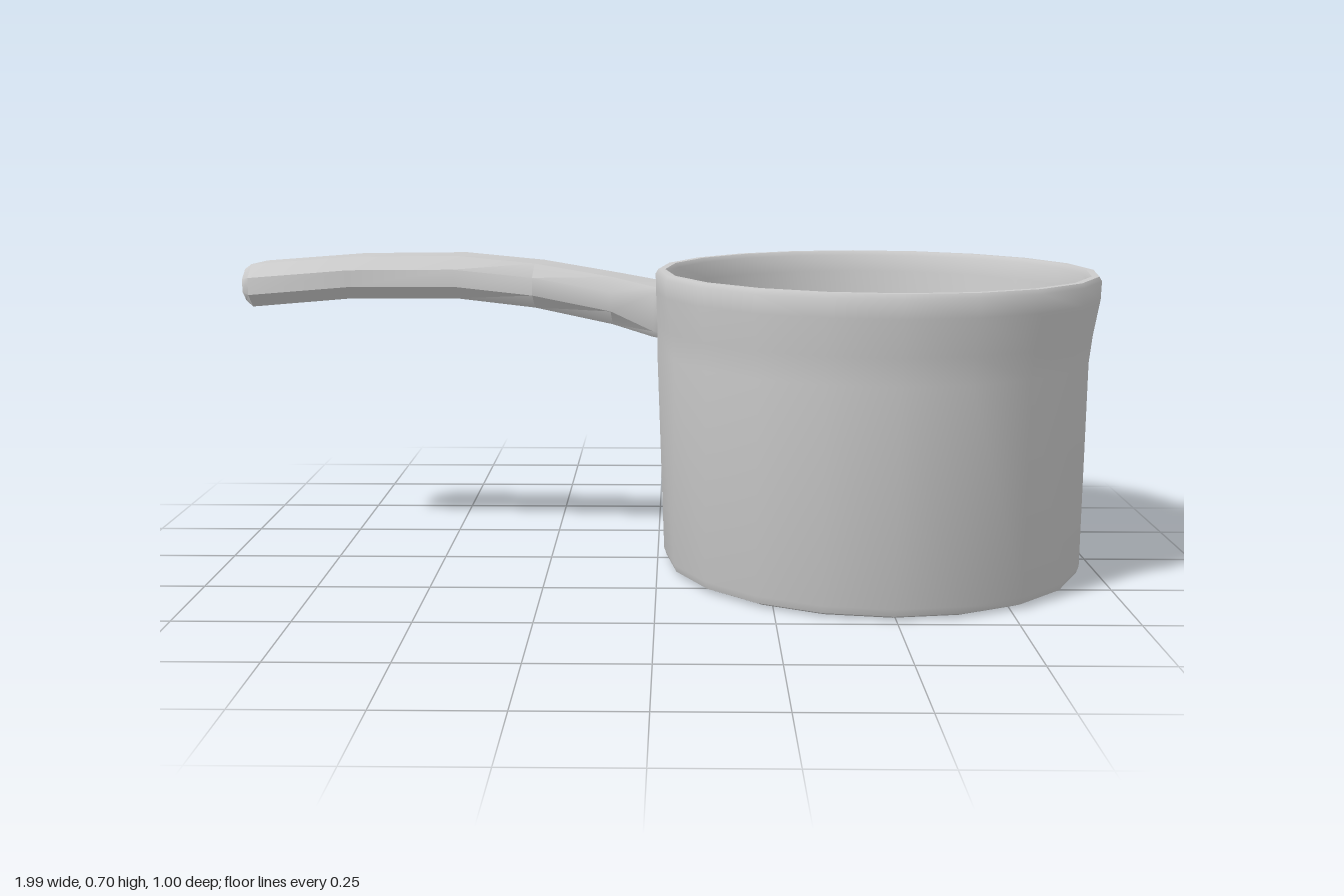
import * as THREE from 'three';
import { toCreasedNormals } from 'three/addons/utils/BufferGeometryUtils.js';

const SIDES = 20;
const POT_X = 0.495;

// Hollow pot: one closed profile, up the outside and down the inside
function potGeometry() {
  const profile = [
    [0, 0], [0.455, 0], [0.474, 0.008], [0.48, 0.025], [0.48, 0.49], [0.486, 0.55],
    [0.499, 0.63], [0.5, 0.67], [0.494, 0.68], [0.478, 0.68], [0.471, 0.67],
    [0.466, 0.63], [0.453, 0.55], [0.447, 0.49], [0.44, 0.03], [0, 0.03],
  ].map(([r, y]) => new THREE.Vector2(r, y));
  const geo = new THREE.LatheGeometry(profile, SIDES);
  // The wall swells slightly at the corner below the handle joint
  const pos = geo.attributes.position;
  for (let i = 0; i < pos.count; i++) {
    const x = pos.getX(i), y = pos.getY(i);
    if (x < -0.475 && y > 0.45 && y < 0.6) pos.setX(i, -0.496);
  }
  return toCreasedNormals(geo, 0.7);
}

// Curved handle: eight-cornered sections lofted outwards from the wall
function handleGeometry() {
  // distance from pot axis, bottom, top, half width, corner fractions (z, y)
  const stations = [
    [0.475, 0.52, 0.635, 0.077, 0.92, 0.85],
    [0.50, 0.522, 0.638, 0.077, 0.88, 0.75],
    [0.60, 0.547, 0.657, 0.074, 0.65, 0.4],
    [0.785, 0.582, 0.685, 0.074, 0.65, 0.4],
    [0.975, 0.6, 0.7, 0.075, 0.65, 0.4],
    [1.23, 0.595, 0.694, 0.076, 0.65, 0.4],
    [1.483, 0.57, 0.672, 0.076, 0.65, 0.4],
    [1.504, 0.583, 0.659, 0.06, 0.65, 0.4],
  ];
  const positions = [], index = [], N = 8;
  for (const [d, lo, hi, w, kz, ky] of stations) {
    const y = (lo + hi) / 2, h = (hi - lo) / 2;
    const ring = [[1, -ky], [1, ky], [kz, 1], [-kz, 1], [-1, ky], [-1, -ky], [-kz, -1], [kz, -1]];
    for (const [a, b] of ring) positions.push(-d, y + b * h, a * w);
  }
  for (let s = 0; s < stations.length - 1; s++) {
    for (let k = 0; k < N; k++) {
      const a = s * N + k, b = s * N + (k + 1) % N;
      index.push(a, b, a + N, b, b + N, a + N);
    }
  }
  // Flat end cap
  const e = (stations.length - 1) * N;
  for (let k = 1; k < N - 1; k++) index.push(e, e + k, e + k + 1);
  const geo = new THREE.BufferGeometry();
  geo.setAttribute('position', new THREE.Float32BufferAttribute(positions, 3));
  geo.setIndex(index);
  return toCreasedNormals(geo, 0.7);
}

export function createModel() {
  const group = new THREE.Group();
  group.name = 'saucepan';
  const material = new THREE.MeshStandardMaterial({ color: 0xcccccc });

  const pot = new THREE.Mesh(potGeometry(), material);
  pot.name = 'pot';
  pot.position.x = POT_X;

  // The handle grows from the middle of one wall facet, half a step off the axis
  const handle = new THREE.Mesh(handleGeometry(), material);
  handle.name = 'handle';
  handle.position.x = POT_X;
  handle.rotation.y = -Math.PI / SIDES;

  group.add(pot, handle);
  return group;
}
